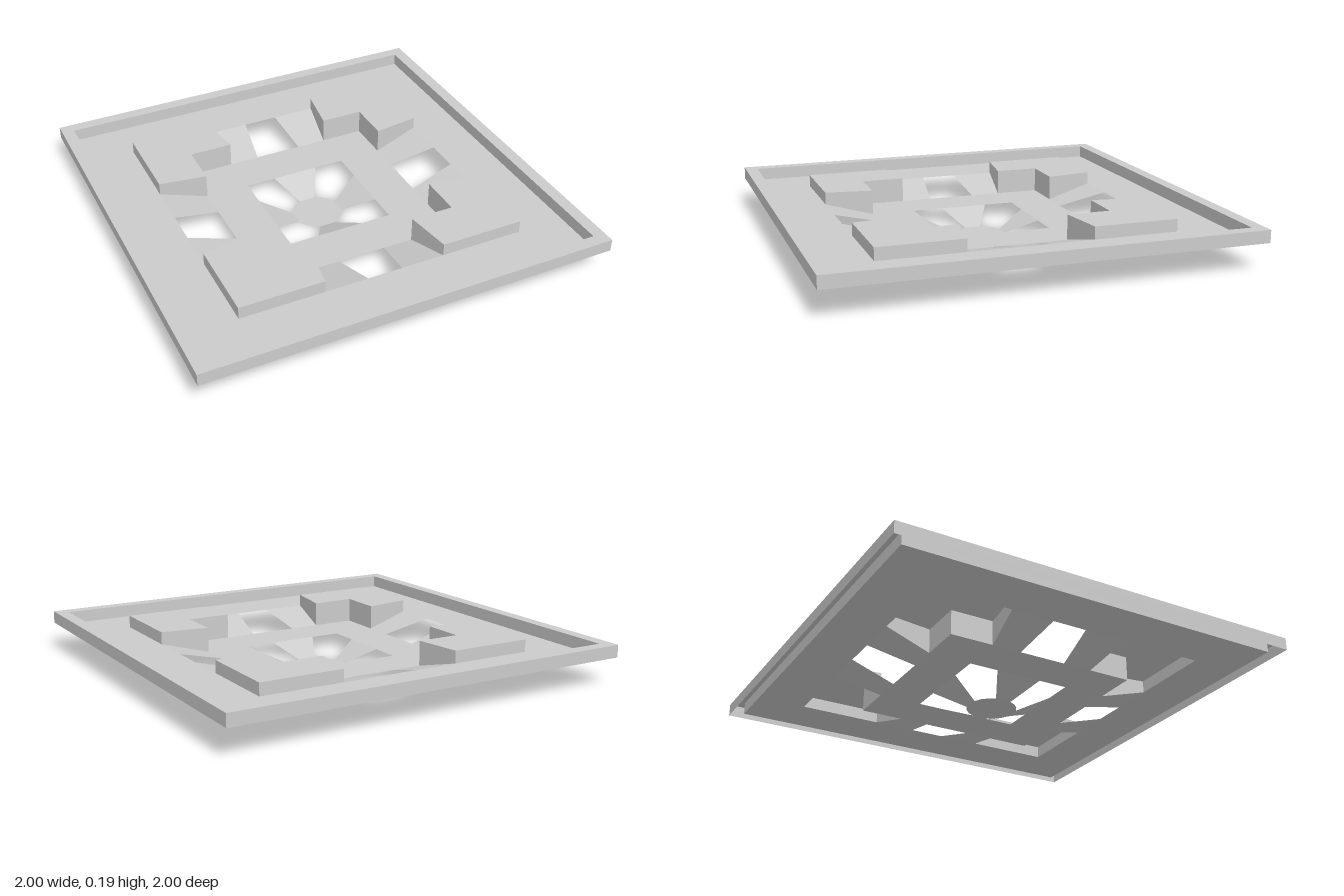
import * as THREE from 'three';

const TOP = 0.19, FLOOR = 0.13, FRAME = 0.07;
const material = new THREE.MeshStandardMaterial({
  color: 0xcccccc, flatShading: true, side: THREE.DoubleSide,
});

function mesh(name, geometry) {
  const m = new THREE.Mesh(geometry, material);
  m.name = name;
  return m;
}

// Horizontal sheet at height y from an [x, z] outline and optional hole
function sheet(name, outline, y, hole) {
  const toPoints = (pts) => pts.map(([x, z]) => new THREE.Vector2(x, -z));
  const shape = new THREE.Shape(toPoints(outline));
  if (hole) shape.holes.push(new THREE.Path(toPoints(hole)));
  return mesh(name, new THREE.ShapeGeometry(shape).rotateX(-Math.PI / 2).translate(0, y, 0));
}

// Four-cornered panels, corners counter-clockwise seen from the front
function panels(name, quads) {
  const pos = quads.flatMap(([a, b, c, d]) => [a, b, c, a, c, d].flat());
  const g = new THREE.BufferGeometry();
  g.setAttribute('position', new THREE.Float32BufferAttribute(pos, 3));
  g.computeVertexNormals();
  return mesh(name, g);
}

// Closed wall along an outline, from a height per corner up to the top
function wall(name, outline, bottoms) {
  return panels(name, outline.map(([x, z], i) => {
    const j = (i + 1) % outline.length;
    const [x2, z2] = outline[j];
    return [[x2, bottoms[j], z2], [x, bottoms[i], z], [x, TOP, z], [x2, TOP, z2]];
  }));
}

const square = (r) => [[r, -r], [r, r], [-r, r], [-r, -r]];

export function createModel() {
  const model = new THREE.Group();
  model.name = 'recessedPanel';

  // Hollow raised rim and the floor inside it
  const level = [FLOOR, FLOOR, FLOOR, FLOOR];
  model.add(
    sheet('rimTop', square(1), TOP, square(0.94)),
    wall('rimOuterWall', square(1), level),
    wall('rimInnerWall', square(0.94).reverse(), level),
    sheet('floor', square(0.94), FLOOR, square(0.703)),
    sheet('innerFrame', square(0.473), FRAME, square(0.26)),
  );

  // Central disc with a flat edge facing each strut
  const disc = [];
  const half = Math.atan2(0.04, 0.115), r = Math.hypot(0.04, 0.115);
  for (let q = 0; q < 4; q++) {
    for (let i = 0; i < 4; i++) {
      const a = q * Math.PI / 2 + half + (i / 3) * (Math.PI / 2 - 2 * half);
      disc.push([r * Math.cos(a), r * Math.sin(a)]);
    }
  }
  model.add(sheet('centreDisc', disc, 0));

  // Each quarter: one raised corner block, two sloping bridges, one strut
  const corner = [[0.703, 0.296], [0.703, 0.703], [0.296, 0.703],
    [0.262, 0.473], [0.473, 0.473], [0.473, 0.262]];
  const bottoms = [FLOOR, FLOOR, FLOOR, FRAME, FRAME, FRAME];
  const bridge = (a, b, c, d) =>
    [[a, FLOOR, 0.703], [b, FLOOR, 0.703], [c, FRAME, 0.473], [d, FRAME, 0.473]];
  for (let q = 0; q < 4; q++) {
    const quarter = new THREE.Group();
    quarter.name = 'quarter' + (q + 1);
    quarter.rotation.y = q * Math.PI / 2;
    quarter.add(
      sheet('cornerBlockTop', corner, TOP),
      wall('cornerBlockWall', corner, bottoms),
      panels('slopingBridges', [
        bridge(0.085, 0.296, 0.262, 0.116),
        bridge(-0.296, -0.085, -0.116, -0.262),
      ]),
      panels('centreStrut', [
        [[-0.115, FRAME, 0.26], [0.115, FRAME, 0.26], [0.04, 0, 0.115], [-0.04, 0, 0.115]],
      ]),
    );
    model.add(quarter);
  }
  return model;
}
